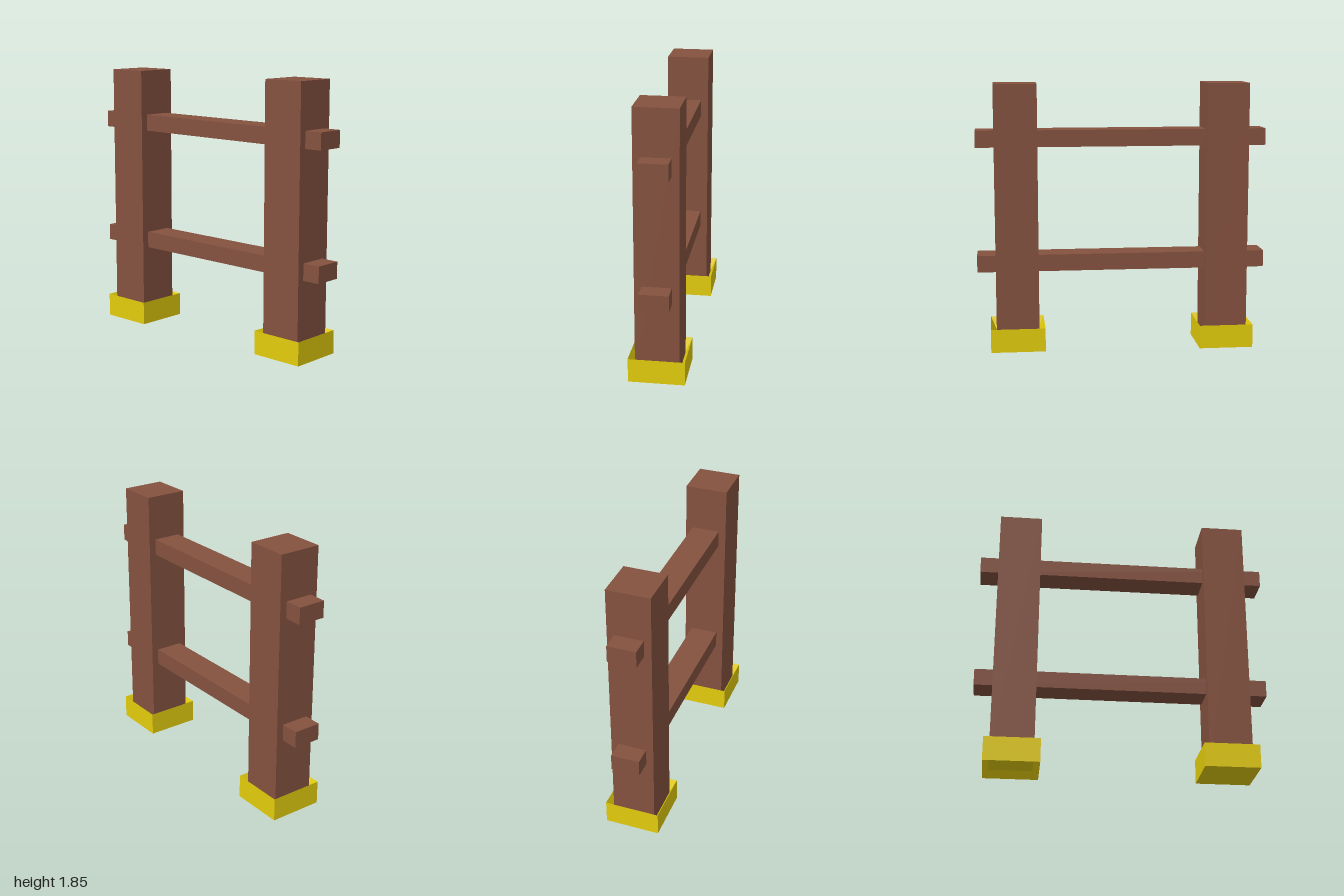
import * as THREE from 'three';

const wood = new THREE.MeshStandardMaterial({ color: 0x85523f, flatShading: true });
const yellow = new THREE.MeshStandardMaterial({ color: 0xe4cd0c, flatShading: true });

function box(name, w, h, d, x, y, z) {
  const mesh = new THREE.Mesh(new THREE.BoxGeometry(w, h, d), wood);
  mesh.name = name;
  mesh.position.set(x, y, z);
  return mesh;
}

// Square solid of revolution: profile rows are [half width, height], bottom to top
function squareLathe(name, profile) {
  const points = profile.map(([half, y]) => new THREE.Vector2(half * Math.SQRT2, y));
  const mesh = new THREE.Mesh(new THREE.LatheGeometry(points, 4, Math.PI / 4), yellow);
  mesh.name = name;
  return mesh;
}

export function createModel() {
  const group = new THREE.Group();
  group.name = 'fence';
  const postZ = 0.727, outer = 0.1875, inner = 0.147;

  // Upright posts, standing in the hollow feet
  for (const side of [1, -1]) {
    const bottom = 0.07, top = 1.85;
    group.add(box(side > 0 ? 'frontPost' : 'backPost',
      inner * 2, top - bottom, inner * 2, 0, (top + bottom) / 2, side * postZ));
  }

  // Rails passing through both posts
  group.add(box('lowerRail', 0.194, 0.115, 2, 0, 0.6175, 0));
  group.add(box('upperRail', 0.194, 0.115, 2, 0, 1.4775, 0));

  // Front foot: flat underside, sloping socket on top
  const frontFoot = squareLathe('frontFoot',
    [[0, 0.012], [outer, 0.012], [outer, 0.175], [inner, 0.085], [0, 0.085]]);
  frontFoot.position.z = postZ;

  // Back foot: sits a little lower, with a sloping recess underneath as well
  const backFoot = squareLathe('backFoot',
    [[0, 0.047], [inner, 0.047], [outer, 0], [outer, 0.163], [inner, 0.075], [0, 0.075]]);
  backFoot.position.z = -postZ;

  group.add(frontFoot, backFoot);
  return group;
}
